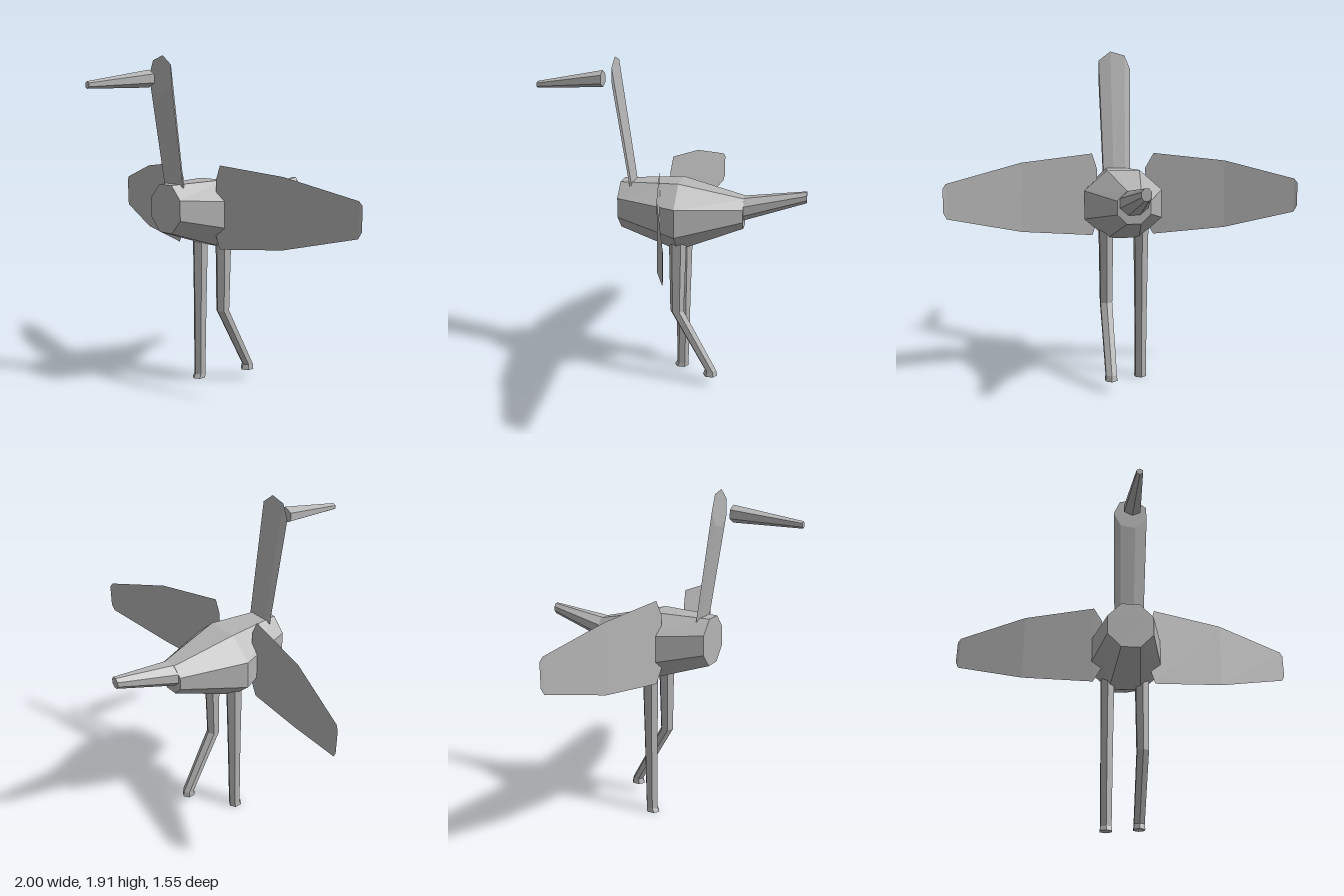
import * as THREE from 'three';

const V = (x, y, z) => new THREE.Vector3(x, y, z);

// Ring of n points in an upright plane (facing z)
function uprightRing(n, cx, cy, z, rx, ry, phase) {
  return Array.from({ length: n }, (_, i) => {
    const a = phase + (i * Math.PI * 2) / n;
    return V(cx + rx * Math.cos(a), cy + ry * Math.sin(a), z);
  });
}

// Ring of n points in a level plane (facing y)
function levelRing(n, cx, y, cz, rx, rz, phase) {
  return Array.from({ length: n }, (_, i) => {
    const a = phase + (i * Math.PI * 2) / n;
    return V(cx + rx * Math.cos(a), y, cz + rz * Math.sin(a));
  });
}

function facets(tris) {
  const geo = new THREE.BufferGeometry().setFromPoints(tris.flat());
  geo.computeVertexNormals();
  return geo;
}

// Closed, faceted skin through a row of rings, always wound outwards
function loft(rings) {
  const n = rings[0].length;
  const tris = [];
  for (let r = 0; r < rings.length - 1; r++) {
    for (let i = 0; i < n; i++) {
      const j = (i + 1) % n;
      const [a, b, c, d] = [rings[r][i], rings[r][j], rings[r + 1][j], rings[r + 1][i]];
      tris.push([a, b, c], [a, c, d]);
    }
  }
  const last = rings[rings.length - 1];
  for (let i = 1; i < n - 1; i++) {
    tris.push([rings[0][0], rings[0][i + 1], rings[0][i]], [last[0], last[i], last[i + 1]]);
  }
  const volume = tris.reduce((s, [a, b, c]) => s + a.dot(b.clone().cross(c)), 0);
  return facets(volume < 0 ? tris.map(([a, b, c]) => [a, c, b]) : tris);
}

export function createModel() {
  const group = new THREE.Group();
  const grey = new THREE.MeshStandardMaterial({ color: 0xb4b4b4, flatShading: true });
  grey.name = 'plain grey';
  const sheet = new THREE.MeshStandardMaterial({ color: 0xb4b4b4, flatShading: true, side: THREE.DoubleSide });
  sheet.name = 'plain grey sheet';

  const add = (name, geo, mat = grey) => {
    const mesh = new THREE.Mesh(geo, mat);
    mesh.name = name;
    group.add(mesh);
  };

  // Eight-sided body and tail
  const eighth = Math.PI / 8;
  add('body', loft([
    uprightRing(8, 0, 1.077, 0.28, 0.14, 0.146, eighth),
    uprightRing(8, 0, 1.03, -0.065, 0.243, 0.212, eighth),
    uprightRing(8, 0, 1.058, -0.43, 0.098, 0.095, eighth),
  ]));
  add('tail', loft([
    uprightRing(8, 0, 1.08, -0.42, 0.083, 0.071, eighth),
    uprightRing(8, 0, 1.165, -0.775, 0.028, 0.034, eighth),
  ]));

  // Flat slanted neck, sheared between two upright rings
  const tilt = THREE.MathUtils.degToRad(79);
  add('neck', loft([
    uprightRing(7, 0, 1.1, 0.2, 0.085, 0.082, tilt),
    uprightRing(7, 0, 1.81, 0.307, 0.102, 0.104, tilt),
  ]));

  // Beak, set apart from the head
  add('beak', loft([
    uprightRing(6, 0, 1.787, 0.385, 0.055, 0.047, Math.PI / 2),
    uprightRing(6, 0, 1.745, 0.773, 0.02, 0.019, Math.PI / 2),
  ]));

  // Six-sided legs: rows of [y, z, rx, rz]
  const leg = (name, x, rows) =>
    add(name, loft(rows.map(([y, z, rx, rz]) => levelRing(6, x, y, z, rx, rz, Math.PI / 2))));
  leg('standingLeg', -0.103, [
    [0.93, -0.065, 0.046, 0.052],
    [0.46, -0.063, 0.039, 0.042],
    [0.025, -0.06, 0.035, 0.036],
    [0, -0.053, 0.038, 0.043],
  ]);
  leg('raisedLeg', 0.101, [
    [0.93, -0.065, 0.046, 0.052],
    [0.46, -0.062, 0.039, 0.04],
    [0.092, -0.267, 0.035, 0.034],
    [0.06, -0.265, 0.038, 0.043],
  ]);

  // Swept sheet wings: rows of [x, low y, high y, z]
  const wing = (name, side, rows) => {
    const tris = [];
    const edge = rows.map(([x, lo, hi, z]) => [V(side * x, lo, z), V(side * x, hi, z)]);
    for (let i = 0; i < edge.length - 1; i++) {
      const [[a, d], [b, c]] = [edge[i], edge[i + 1]];
      tris.push(side > 0 ? [a, b, c] : [a, c, b], side > 0 ? [a, c, d] : [a, d, c]);
    }
    add(name, facets(tris), sheet);
  };
  const tip = [[0.983, 0.98, 1.172, -0.17], [1, 1.016, 1.148, -0.178]];
  wing('leftWing', 1, [[0.14, 0.92, 1.23, 0.03], [0.168, 0.84, 1.316, 0.025], [0.578, 0.882, 1.273, -0.053], ...tip]);
  wing('rightWing', -1, [[0.145, 0.92, 1.23, 0.03], [0.193, 0.84, 1.316, 0.022], [0.6, 0.882, 1.273, -0.057], ...tip]);

  return group;
}
